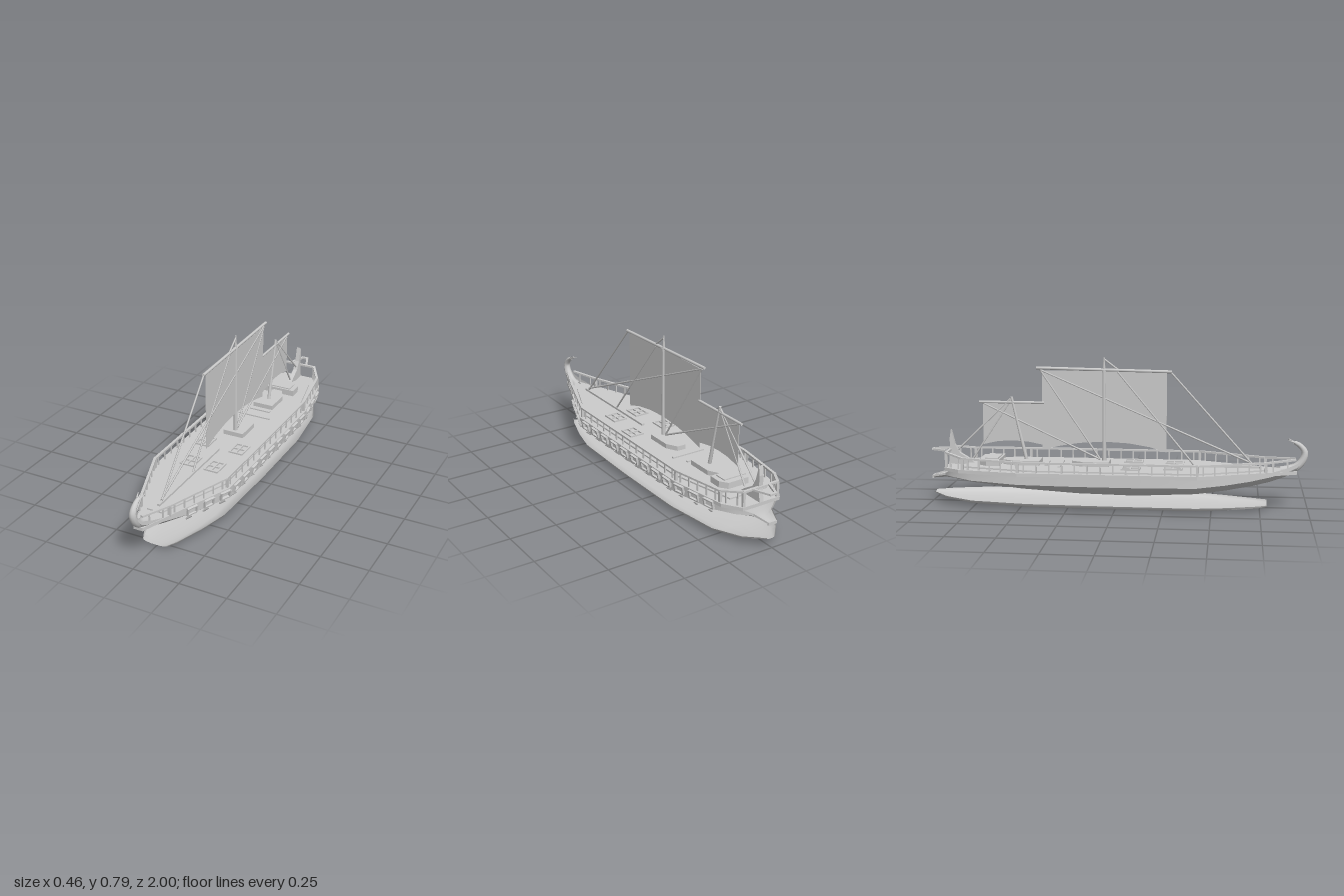
import * as THREE from 'three';
import { toCreasedNormals } from 'three/addons/utils/BufferGeometryUtils.js';

const mat = new THREE.MeshStandardMaterial({ color: 0xcccccc, side: THREE.DoubleSide });
const V = (x, y, z) => new THREE.Vector3(x, y, z);

// half outline of the deck, bow to stern: [z, x]
const OUTLINE = [[0.94, 0.025], [0.72, 0.11], [0.43, 0.225], [-0.5, 0.225], [-0.82, 0.17], [-0.91, 0.11]];
const INNER = [[0.79, 0.04], [0.42, 0.19], [-0.45, 0.19], [-0.81, 0.11]];

function outlineX(z) {
  for (let i = 0; i < OUTLINE.length - 1; i++) {
    const [za, xa] = OUTLINE[i], [zb, xb] = OUTLINE[i + 1];
    if (z <= za && z >= zb) return xa + (xb - xa) * (za - z) / (za - zb);
  }
  return 0.1;
}

export function createModel() {
  const model = new THREE.Group();

  const add = (name, geo, parent = model) => {
    const m = new THREE.Mesh(geo, mat);
    m.name = name;
    parent.add(m);
    return m;
  };
  const group = (name, parent = model) => {
    const g = new THREE.Group();
    g.name = name;
    parent.add(g);
    return g;
  };
  const box = (name, w, h, d, x, y, z, parent) => {
    const m = add(name, new THREE.BoxGeometry(w, h, d), parent);
    m.position.set(x, y, z);
    return m;
  };
  // round bar between two points
  const rod = (name, a, b, r0, r1 = r0, parent = model, sides = 8) => {
    const m = add(name, new THREE.CylinderGeometry(r1, r0, a.distanceTo(b), sides), parent);
    m.position.copy(a).lerp(b, 0.5);
    m.quaternion.setFromUnitVectors(V(0, 1, 0), b.clone().sub(a).normalize());
    return m;
  };
  // square bar between two points
  const beam = (name, a, b, w, h, parent) => {
    const m = box(name, w, h, a.distanceTo(b) + w * 0.5, 0, 0, 0, parent);
    m.position.copy(a).lerp(b, 0.5);
    m.lookAt(b);
    return m;
  };
  // skin over rows of points
  const loft = (rows, crease) => {
    const n = rows[0].length, idx = [];
    for (let i = 0; i < rows.length - 1; i++)
      for (let j = 0; j < n - 1; j++) {
        const a = i * n + j, b = a + n;
        idx.push(a, a + 1, b, b, a + 1, b + 1);
      }
    const g = new THREE.BufferGeometry().setFromPoints(rows.flat());
    g.setIndex(idx);
    return toCreasedNormals(g, crease);
  };
  const mirrored = half => [...half, ...half.slice(0, -1).reverse().map(p => V(-p.x, p.y, p.z))];
  // horizontal plate from a half outline, bottom at y
  const plate = (name, half, y, h, parent) => {
    const pts = [...half.map(([z, x]) => [x, -z]), ...[...half].reverse().map(([z, x]) => [-x, -z])];
    const g = new THREE.ExtrudeGeometry(new THREE.Shape(pts.map(p => new THREE.Vector2(...p))),
      { depth: h, bevelEnabled: false });
    g.rotateX(-Math.PI / 2);
    g.translate(0, y, 0);
    return add(name, g, parent);
  };
  // upright thin sheet in the centre plane, points as [z, y]
  const sheet = (name, pts, t) => {
    const g = new THREE.ExtrudeGeometry(new THREE.Shape(pts.map(([z, y]) => new THREE.Vector2(-z, y))),
      { depth: t, bevelEnabled: false });
    g.translate(0, 0, -t / 2);
    g.rotateY(Math.PI / 2);
    return add(name, g);
  };

  // hull: [z, half width, keel y, chine y, top y]
  const HULL = [[0.98, 0.014, 0.25, 0.262, 0.275], [0.94, 0.025, 0.2, 0.22, 0.24], [0.88, 0.045, 0.17, 0.195, 0.218],
    [0.8, 0.075, 0.142, 0.178, 0.2], [0.7, 0.115, 0.118, 0.162, 0.195], [0.57, 0.165, 0.096, 0.149, 0.192],
    [0.42, 0.215, 0.077, 0.14, 0.19], [0.1, 0.22, 0.06, 0.137, 0.19], [-0.2, 0.22, 0.067, 0.137, 0.19],
    [-0.5, 0.217, 0.088, 0.14, 0.19], [-0.75, 0.178, 0.115, 0.148, 0.19], [-0.87, 0.125, 0.133, 0.157, 0.19],
    [-0.92, 0.055, 0.132, 0.15, 0.162], [-1, 0.025, 0.124, 0.132, 0.14]];
  add('hull', loft(HULL.map(([z, w, k, c, t]) => mirrored([V(w, t, z), V(w, c, z),
    V(w * 0.72, k + (c - k) * 0.48, z), V(w * 0.45, k + (c - k) * 0.14, z), V(w * 0.22, k, z), V(0, k, z)])), 0.55));
  box('tailEnd', 0.05, 0.016, 0.01, 0, 0.132, -0.995);

  // separate shallow underbody: [z, half width, rim y, floor y]
  const UNDER = [[0.79, 0.07, 0.028, 0.012], [0.74, 0.095, 0.027, 0.005], [0.58, 0.15, 0.028, 0.001], [0.42, 0.19, 0.03, 0],
    [0, 0.205, 0.034, 0], [-0.45, 0.205, 0.037, 0.002], [-0.75, 0.17, 0.04, 0.012], [-0.9, 0.105, 0.046, 0.026],
    [-0.99, 0.025, 0.054, 0.046]];
  add('underbody', loft(UNDER.map(([z, w, r, b]) => mirrored([V(w, r, z), V(w * 0.95, b + (r - b) * 0.5, z),
    V(w * 0.68, b + (r - b) * 0.18, z), V(w * 0.35, b, z), V(0, b, z)])), 0.9));

  // deck and wale
  plate('wale', OUTLINE, 0.185, 0.018);
  plate('deck', INNER, 0.2, 0.011);

  // curling stem with a tapering tube
  const stemCurve = new THREE.CatmullRomCurve3([V(0, 0.2, 0.86), V(0, 0.218, 0.93), V(0, 0.255, 0.968),
    V(0, 0.3, 0.98), V(0, 0.335, 0.955), V(0, 0.352, 0.925)]);
  const stem = new THREE.TubeGeometry(stemCurve, 20, 0.02, 10);
  const sp = stem.attributes.position;
  for (let i = 0; i < sp.count; i++) {
    const u = Math.floor(i / 11) / 20, c = stemCurve.getPointAt(u), p = V().fromBufferAttribute(sp, i);
    p.sub(c).multiplyScalar(1.15 - 0.65 * u * u).add(c);
    sp.setXYZ(i, p.x, p.y, p.z);
  }
  stem.computeVertexNormals();
  add('stem', stem);
  for (const x of [-0.018, 0, 0.018])
    rod('stemSpike', V(x * 0.3, 0.348, 0.935), V(x, 0.37 - Math.abs(x) * 0.3, 0.895), 0.005, 0.002);

  // railing on both sides, joined across the stern
  const RAIL = [[0.93, 0.02, 0.262], [0.78, 0.08, 0.253], [0.43, 0.208, 0.255], [-0.5, 0.21, 0.255],
    [-0.8, 0.162, 0.262], [-0.9, 0.1, 0.28]];
  const railing = group('railing');
  for (const s of [1, -1]) {
    for (let i = 0; i < RAIL.length - 1; i++) {
      const [a, b] = [RAIL[i], RAIL[i + 1]].map(([z, x, y]) => V(s * x, y, z));
      beam('handrail', a, b, 0.014, 0.01, railing);
      const n = Math.max(1, Math.round(a.distanceTo(b) / 0.065));
      for (let k = 0; k < n; k++) {
        const p = a.clone().lerp(b, (k + 0.5) / n);
        box('railPost', 0.006, p.y - 0.195, 0.008, p.x, (p.y + 0.195) / 2, p.z, railing);
      }
    }
    for (const [z, x, y] of RAIL.slice(1)) box('cornerPost', 0.014, y - 0.195, 0.014, s * x, (y + 0.195) / 2, z, railing);
    beam('sternArm', V(s * 0.05, 0.28, -0.9), V(s * 0.016, 0.282, -0.99), 0.012, 0.01, railing);
  }
  beam('sternRail', V(-0.1, 0.28, -0.9), V(0.1, 0.28, -0.9), 0.014, 0.01, railing);
  beam('sternTip', V(-0.018, 0.282, -0.992), V(0.018, 0.282, -0.992), 0.014, 0.01, railing);

  // oar ports and struts along one flank
  const ports = group('oarPorts');
  for (let i = 0; i < 15; i++) {
    const z = 0.66 - i * 0.1;
    const port = group('oarPort', ports);
    port.position.set(outlineX(z) + 0.001, 0.175, z);
    port.rotation.y = Math.atan2(outlineX(z + 0.02) - outlineX(z - 0.02), 0.04);
    const frame = group('portFrame', port);
    frame.rotation.z = -0.2;
    for (const e of [-1, 1]) {
      box('frameSide', 0.014, 0.042, 0.008, 0, 0, e * 0.028, frame);
      box('frameBar', 0.014, 0.007, 0.06, 0, e * 0.019, 0, frame);
    }
    rod('strut', V(0.0, -0.03, 0), V(-0.034, -0.06, 0.01), 0.005, 0.005, port, 6);
  }

  // deck fittings
  const fittings = group('deckFittings');
  for (const z of [-0.04, -0.41])
    plate('mastPlatform', [[z, 0.058], [z - 0.14, 0.058], [z - 0.2, 0.025]], 0.21, 0.026, fittings);
  plate('sternHatch', [[-0.62, 0.09], [-0.69, 0.09], [-0.73, 0.06]], 0.21, 0.034, fittings);
  box('hatchLid', 0.13, 0.006, 0.07, 0, 0.247, -0.665, fittings);
  box('crossBeam', 0.19, 0.008, 0.012, 0, 0.214, -0.3, fittings);
  box('crossBeam', 0.12, 0.008, 0.012, 0, 0.214, -0.375, fittings);
  box('centrePlank', 0.016, 0.012, 0.62, 0, 0.216, 0.44, fittings);
  for (const s of [1, -1])
    for (const [x, z] of [[0.1, 0.08], [0.07, 0.3]])
      for (const k of [-1, 0, 1]) {
        box('gratingBar', 0.008, 0.009, 0.1, s * x + k * 0.036, 0.215, z, fittings);
        box('gratingBar', 0.08, 0.009, 0.008, s * x, 0.215, z + k * 0.046, fittings);
      }

  // stern ornament
  sheet('sternFin', [[-0.75, 0.2], [-0.8, 0.235], [-0.85, 0.265], [-0.875, 0.31], [-0.895, 0.39],
    [-0.903, 0.34], [-0.9, 0.27], [-0.91, 0.2]], 0.024);

  // masts, yards and sails, all in the centre plane
  rod('mainMast', V(0, 0.22, -0.07), V(0, 0.72, -0.07), 0.011, 0.009);
  rod('mastTop', V(0, 0.71, -0.07), V(0, 0.787, -0.07), 0.008, 0.003);
  rod('mastCap', V(0, 0.705, -0.07), V(0, 0.72, -0.07), 0.012);
  rod('mainYard', V(0, 0.712, 0.285), V(0, 0.725, -0.43), 0.008);
  rod('aftMast', V(0, 0.22, -0.485), V(0, 0.57, -0.565), 0.01, 0.007);
  rod('aftYard', V(0, 0.54, -0.39), V(0, 0.54, -0.74), 0.007);
  sheet('mainSail', [[0.26, 0.712], [0.26, 0.285], [0.17, 0.312], [0.06, 0.33], [-0.07, 0.337], [-0.2, 0.328],
    [-0.3, 0.312], [-0.4, 0.288], [-0.4, 0.712]], 0.003);
  sheet('aftSail', [[-0.4, 0.54], [-0.4, 0.315], [-0.48, 0.33], [-0.56, 0.335], [-0.64, 0.33], [-0.72, 0.312],
    [-0.72, 0.54]], 0.003);

  // rigging: [z, y] to [z, y]
  const ROPES = [[0.28, 0.71, 0.72, 0.22], [0.0, 0.71, 0.41, 0.215], [-0.41, 0.715, 0.72, 0.23], [-0.41, 0.715, -0.09, 0.24],
    [-0.73, 0.54, -0.09, 0.24], [-0.56, 0.565, -0.78, 0.23], [-0.57, 0.56, -0.87, 0.27], [-0.07, 0.775, 0.01, 0.715]];
  for (const [za, ya, zb, yb] of ROPES) rod('rope', V(0, ya, za), V(0, yb, zb), 0.005, 0.005, model, 6);

  return model;
}
